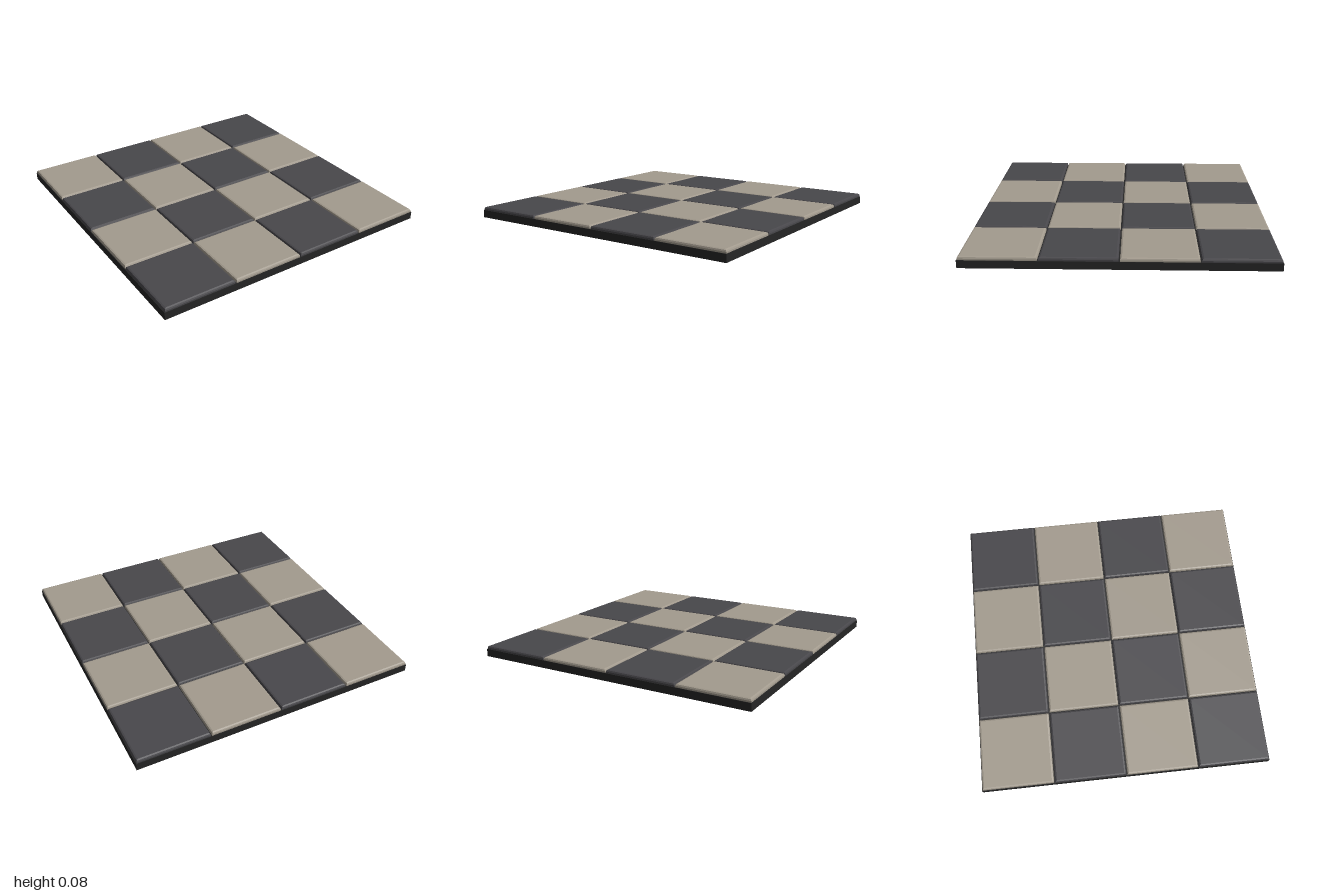
import * as THREE from 'three';

const CELLS = 4;
const CELL = 0.5;
const GAP = 0.008;
const BEVEL = 0.013;
const BASE_HEIGHT = 0.052;
const TOP = 0.075;

function material(name, color) {
  const m = new THREE.MeshStandardMaterial({ color });
  m.name = name;
  return m;
}

// Square tile with a bevelled rim; its lower bevel is sunk into the slab.
function tileGeometry() {
  const h = (CELL - GAP) / 2 - BEVEL;
  const shape = new THREE.Shape([
    new THREE.Vector2(-h, -h), new THREE.Vector2(h, -h),
    new THREE.Vector2(h, h), new THREE.Vector2(-h, h),
  ]);
  const depth = 0.02;
  const geometry = new THREE.ExtrudeGeometry(shape, {
    depth, bevelEnabled: true, bevelThickness: BEVEL, bevelSize: BEVEL, bevelSegments: 2,
  });
  geometry.rotateX(-Math.PI / 2);
  geometry.translate(0, TOP - depth - BEVEL, 0);
  return geometry;
}

export function createModel() {
  const group = new THREE.Group();
  group.name = 'checkeredFloor';
  const grout = material('grout black', 0x262626);
  const light = material('warm stone', 0xa39b8e);
  const dark = material('charcoal stone', 0x48474b);

  // Supporting slab, visible in the joints
  const slab = new THREE.Mesh(new THREE.BoxGeometry(2, BASE_HEIGHT, 2), grout);
  slab.name = 'baseSlab';
  slab.position.y = BASE_HEIGHT / 2;
  group.add(slab);

  // Alternating tiles, light in the back right corner
  const geometry = tileGeometry();
  for (let row = 0; row < CELLS; row++) {
    for (let col = 0; col < CELLS; col++) {
      const isLight = (row + col) % 2 === 0;
      const tile = new THREE.Mesh(geometry, isLight ? light : dark);
      tile.name = isLight ? 'lightTile' : 'darkTile';
      tile.position.set((col - 1.5) * CELL, 0, (row - 1.5) * CELL);
      group.add(tile);
    }
  }
  return group;
}
